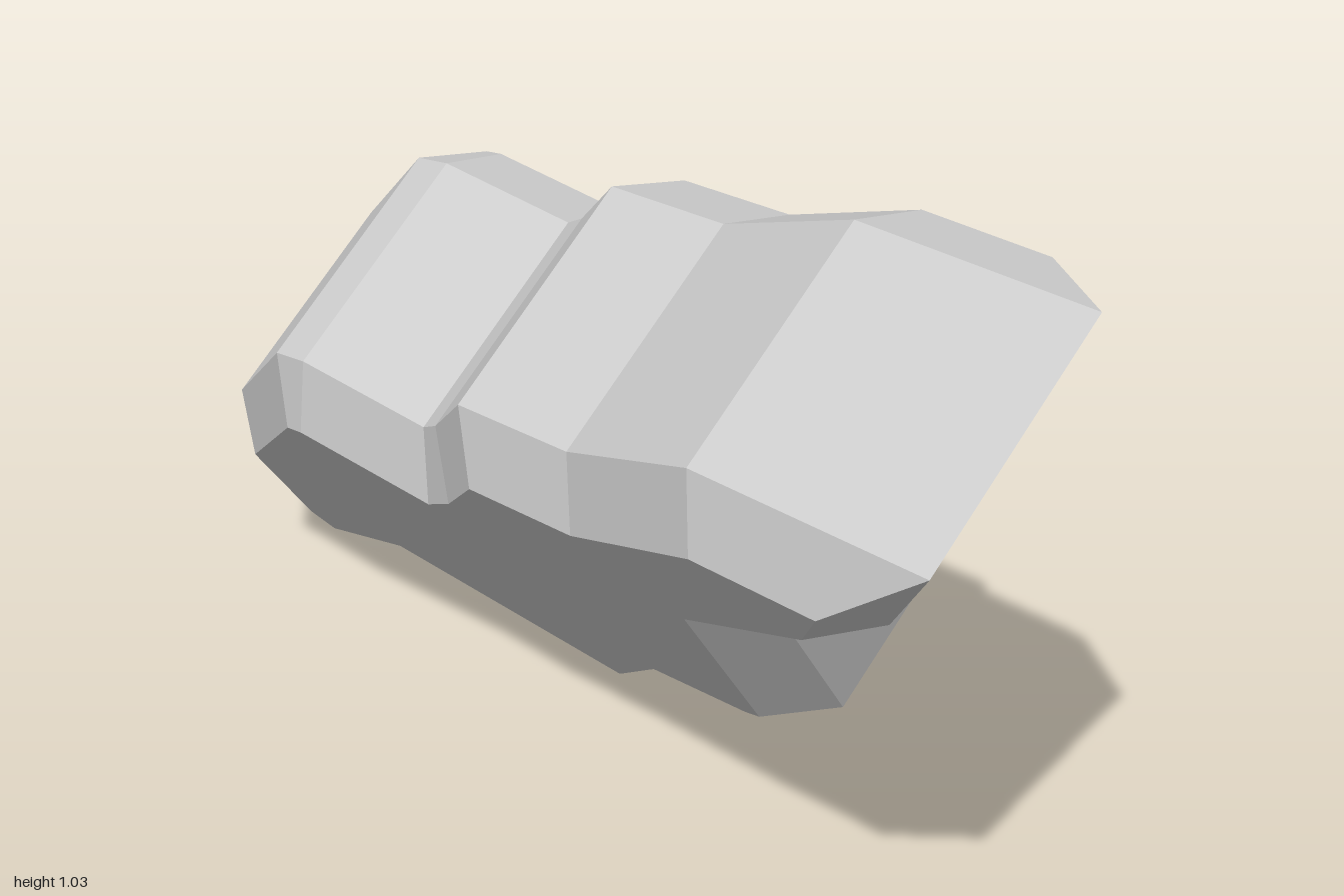
import * as THREE from 'three';

// Outline of the slab in its own plane, counter-clockwise
const OUTLINE = [
  [0.832, -0.625], [1.168, -0.458], [0.909, -0.297], [0.584, -0.256], [0.398, 0.057],
  [0.299, 0.054], [0.121, 0], [-0.11, 0.083], [-0.492, -0.212], [-0.823, -0.203],
  [-0.862, -0.349], [-0.721, -0.598], [-0.265, -0.751], [-0.185, -0.737],
  [0.013, -0.593], [0.074, -0.605], [0.28, -0.685], [0.487, -0.605],
].map(([u, v]) => new THREE.Vector2(u, v));

const START = 0.163, DEPTH = 0.393, BEVEL = 0.083;

// Moves every edge of the outline inwards by the same distance
function inset(points, distance) {
  const n = points.length;
  return points.map((p, i) => {
    const before = p.clone().sub(points[(i + n - 1) % n]).normalize();
    const after = points[(i + 1) % n].clone().sub(p).normalize();
    const mitre = new THREE.Vector2(-before.y - after.y, before.x + after.x);
    return mitre.multiplyScalar(distance / (1 + before.dot(after))).add(p);
  });
}

// Two flat caps joined by a bevel, a straight wall and a second bevel
function bevelledSlab() {
  const small = inset(OUTLINE, BEVEL), n = OUTLINE.length;
  const loops = [
    [small, START - BEVEL], [OUTLINE, START],
    [OUTLINE, START + DEPTH], [small, START + DEPTH + BEVEL],
  ];
  const positions = loops.flatMap(([points, z]) => points.flatMap((p) => [p.x, p.y, z]));
  const index = [];
  for (let k = 0; k < 3; k++) {
    for (let i = 0; i < n; i++) {
      const a = k * n + i, b = k * n + (i + 1) % n;
      index.push(a, b, b + n, a, b + n, a + n);
    }
  }
  for (const [a, b, c] of THREE.ShapeUtils.triangulateShape(small, [])) {
    index.push(c, b, a, 3 * n + a, 3 * n + b, 3 * n + c);
  }
  const geometry = new THREE.BufferGeometry();
  geometry.setAttribute('position', new THREE.Float32BufferAttribute(positions, 3));
  geometry.setIndex(index);
  const flat = geometry.toNonIndexed();
  flat.computeVertexNormals();
  return flat;
}

export function createModel() {
  const group = new THREE.Group();
  group.name = 'tiltedSlab';
  const material = new THREE.MeshStandardMaterial({ color: 0xcccccc, flatShading: true });
  const slab = new THREE.Mesh(bevelledSlab(), material);
  slab.name = 'bevelledSlab';

  // Tilt: the long axis runs front to back, the thickness rises to the left and back
  const normal = new THREE.Vector3(0.655, 0.629, -0.418).normalize();
  const long = new THREE.Vector3(0, 0, 1).projectOnPlane(normal).normalize();
  const across = normal.clone().cross(long);
  slab.quaternion.setFromRotationMatrix(new THREE.Matrix4().makeBasis(long, across, normal));
  group.add(slab);

  // Centre and stand on the ground
  const box = new THREE.Box3().setFromObject(group, true);
  const centre = box.getCenter(new THREE.Vector3());
  slab.position.set(-centre.x, -box.min.y, -centre.z);
  return group;
}
